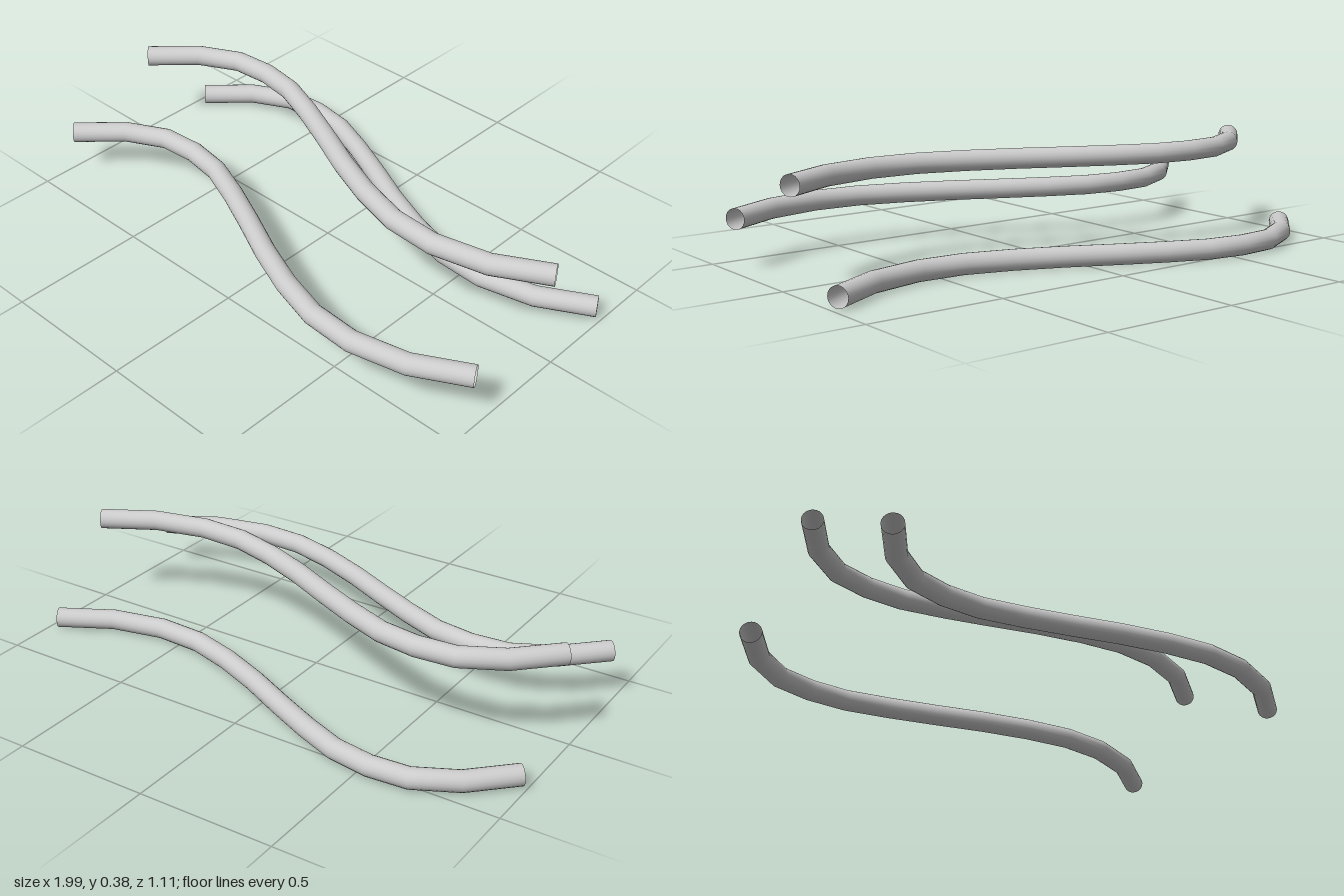
import * as THREE from 'three';

// Centre line shared by the tubes, as [x, z]
const PATH = [
  [-0.972, -0.298], [-0.832, -0.435], [-0.685, -0.51], [-0.542, -0.52],
  [-0.398, -0.497], [-0.248, -0.437], [-0.092, -0.364], [0.072, -0.283],
  [0.242, -0.212], [0.41, -0.162], [0.587, -0.152], [0.785, -0.195], [0.973, -0.297],
];
const RADIUS = 0.037;

export function createModel() {
  const group = new THREE.Group();
  const material = new THREE.MeshStandardMaterial({ color: 0xcccccc, side: THREE.DoubleSide });

  // One ring per path point, so the bends stay at the listed places
  const curve = new THREE.CatmullRomCurve3(PATH.map(([x, z]) => new THREE.Vector3(x, 0, z)));
  curve.getPointAt = (t, target) => curve.getPoint(t, target);
  curve.getTangentAt = (t, target) => curve.getTangent(t, target);
  const geometry = new THREE.TubeGeometry(curve, PATH.length - 1, RADIUS, 20, false);

  // Three open wavy tubes, stepped in height and depth
  const addTube = (name, y, z) => {
    const tube = new THREE.Mesh(geometry, material);
    tube.name = name;
    tube.position.set(0, y, z);
    group.add(tube);
  };
  addTube('backTube', RADIUS, 0);
  addTube('middleTube', 0.342, 0.28);
  addTube('frontTube', 0.175, 0.668);

  return group;
}
